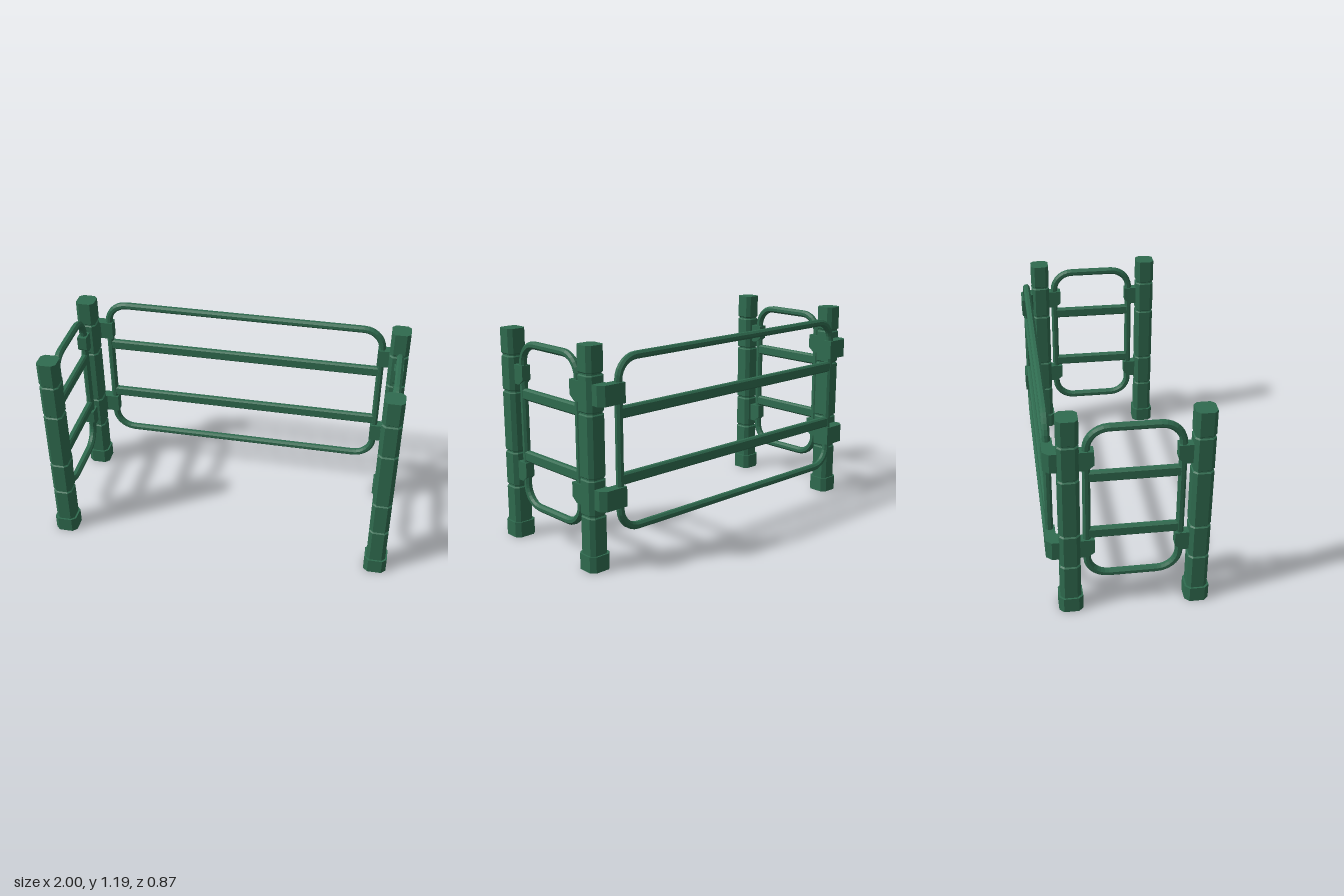
import * as THREE from 'three';

const material = new THREE.MeshStandardMaterial({ color: 0x2f6b4f, flatShading: true });

function part(name, geometry, parent) {
  const mesh = new THREE.Mesh(geometry, material);
  mesh.name = name;
  parent.add(mesh);
  return mesh;
}

// Flat-faced skin over rings of points; open lofts get end caps
function loft(rings, closed = false) {
  const out = [];
  const tri = (...pts) => pts.forEach((p) => out.push(p.x, p.y, p.z));
  const n = rings[0].length;
  for (let i = 0; i < rings.length - (closed ? 0 : 1); i++) {
    const a = rings[i], b = rings[(i + 1) % rings.length];
    for (let j = 0; j < n; j++) {
      const k = (j + 1) % n;
      tri(a[j], a[k], b[k]);
      tri(a[j], b[k], b[j]);
    }
  }
  if (!closed) {
    const a = rings[0], b = rings[rings.length - 1];
    for (let j = 1; j < n - 1; j++) {
      tri(a[0], a[j + 1], a[j]);
      tri(b[0], b[j], b[j + 1]);
    }
  }
  const g = new THREE.BufferGeometry();
  g.setAttribute('position', new THREE.Float32BufferAttribute(out, 3));
  g.computeVertexNormals();
  return g;
}

// Counter-clockwise rectangle with cut corners
function cutRect(hu, hv, c) {
  return [[hu, -hv + c], [hu, hv - c], [hu - c, hv], [-hu + c, hv],
    [-hu, hv - c], [-hu, -hv + c], [-hu + c, -hv], [hu - c, -hv]];
}

// Eight-sided post with a wider foot and four grooves
function postGeometry() {
  const profile = [[0, 0.065], [0.088, 0.065], [0.088, 0.055]];
  for (const y of [0.298, 0.497, 0.84, 1.042]) {
    profile.push([y - 0.01, 0.055], [y - 0.004, 0.048], [y + 0.004, 0.048], [y + 0.01, 0.055]);
  }
  profile.push([1.187, 0.055]);
  return loft(profile.map(([y, h]) =>
    cutRect(h, h, h * 0.38).map(([z, x]) => new THREE.Vector3(x, y, z))));
}

// Eight-sided tube bent into a closed rounded rectangle in the XY plane
function frameGeometry(hw, y0, y1, corner, radius) {
  const path = [];
  const corners = [[1, y1 - corner], [-1, y1 - corner], [-1, y0 + corner], [1, y0 + corner]];
  corners.forEach(([s, cy], q) => {
    for (let i = 0; i <= 7; i++) {
      const a = (q + i / 7) * Math.PI / 2;
      path.push([s * (hw - corner) + corner * Math.cos(a), cy + corner * Math.sin(a), a]);
    }
  });
  return loft(path.map(([x, y, a]) => Array.from({ length: 8 }, (_, j) => {
    const t = (j + 0.5) * Math.PI / 4;
    const u = radius * Math.cos(t);
    return new THREE.Vector3(x + u * Math.cos(a), y + u * Math.sin(a), -radius * Math.sin(t));
  })), true);
}

// Tube frame with two horizontal rails
function createPanel(name, halfWidth) {
  const panel = new THREE.Group();
  panel.name = name;
  part('tubeFrame', frameGeometry(halfWidth - 0.02, 0.21, 1.117, 0.115, 0.0215), panel);
  for (const y of [0.486, 0.837]) {
    const rail = loft([-1, 1].map((s) => cutRect(0.031, 0.018, 0.009)
      .map(([v, z]) => new THREE.Vector3(s * (halfWidth - 0.025), v, z))));
    part('rail', rail, panel).position.y = y;
  }
  return panel;
}

function extrude(points, depth) {
  const shape = new THREE.Shape(points.map(([x, y]) => new THREE.Vector2(x, y)));
  return new THREE.ExtrudeGeometry(shape, { depth, bevelEnabled: false });
}

// Side clip reaching from a post to a frame upright, its lower free corner cut
function sideClip(zPost, zFree, depth) {
  const d = Math.sign(zPost - zFree);
  const g = extrude([[zPost, -0.054], [zPost, 0.054], [zFree, 0.054],
    [zFree, -0.026], [zFree + d * 0.035, -0.054]], depth);
  return g.translate(0, 0, -depth / 2).rotateY(-Math.PI / 2);
}

// Clip behind a rear post, reaching inward to the long panel
function rearClip(s) {
  const plan = [[0.97, -0.355], [0.97, -0.405], [0.942, -0.436], [0.812, -0.436],
    [0.812, -0.378], [0.885, -0.378], [0.9, -0.355]];
  return extrude(plan.map(([x, z]) => [s * x, z]), 0.108)
    .translate(0, 0, -0.054).rotateX(Math.PI / 2);
}

export function createModel() {
  const model = new THREE.Group();
  model.name = 'railing';

  const rear = createPanel('rearPanel', 0.855);
  rear.position.z = -0.407;
  model.add(rear);

  for (const s of [1, -1]) {
    const side = s > 0 ? 'left' : 'right';

    // Posts
    part(side + 'FrontPost', postGeometry(), model).position.set(s * 0.935, 0, 0.369);
    part(side + 'RearPost', postGeometry(), model).position.set(s * 0.935, 0, -0.312);

    // Side panel
    const panel = createPanel(side + 'Panel', 0.2635);
    panel.rotation.y = Math.PI / 2;
    panel.position.set(s * 0.943, 0, 0.0225);
    model.add(panel);

    // Clips
    for (const y of [0.396, 0.942]) {
      part(side + 'FrontClip', sideClip(0.32, 0.24, 0.052), model).position.set(s * 0.943, y, 0);
      part(side + 'MiddleClip', sideClip(-0.262, -0.182, 0.055), model).position.set(s * 0.943, y, 0);
      part(side + 'RearClip', rearClip(s), model).position.y = y;
    }
  }
  return model;
}
